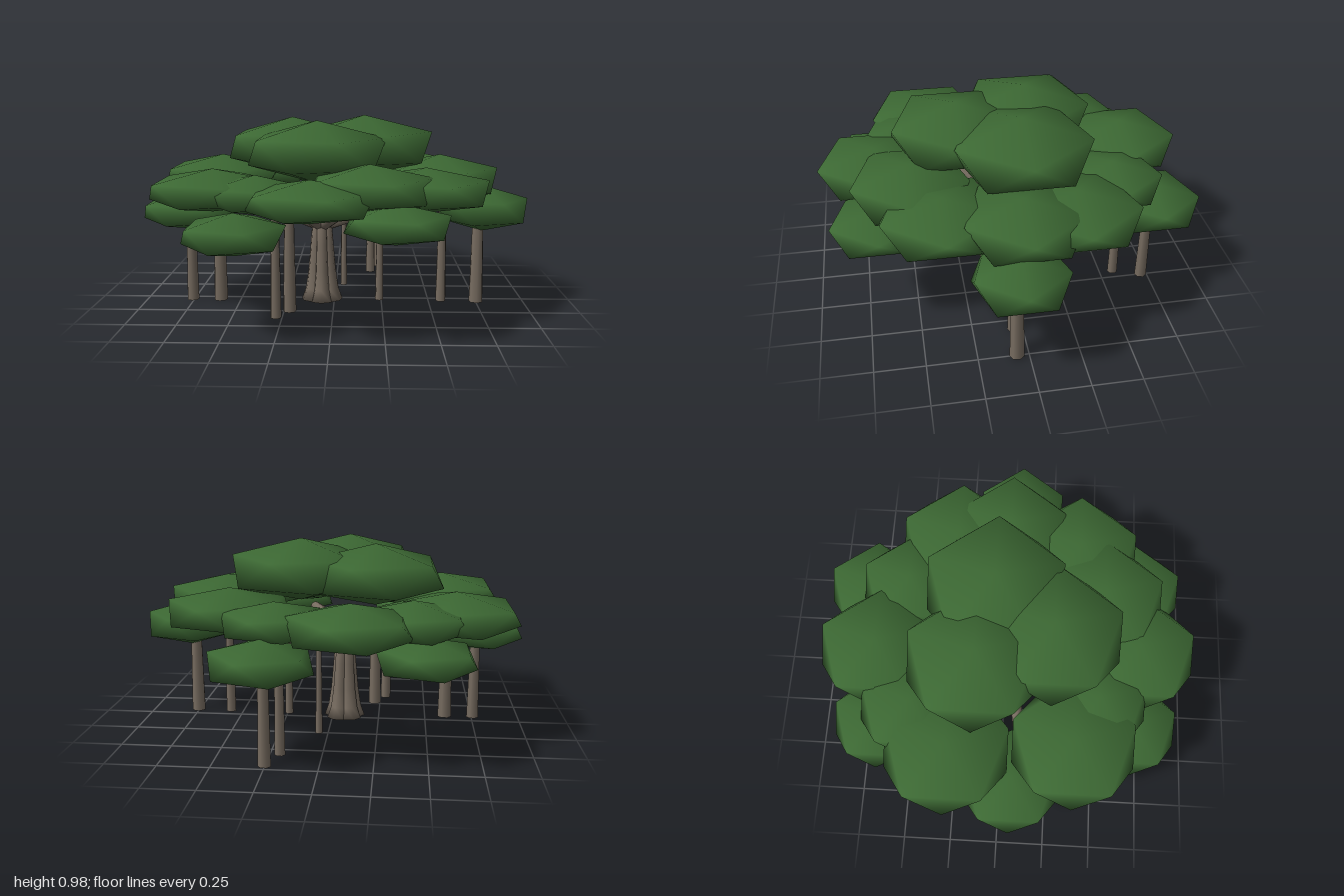
import * as THREE from 'three';

const bark = new THREE.MeshStandardMaterial({ color: 0x776c60 });
bark.name = 'bark';
const leaf = new THREE.MeshStandardMaterial({ color: 0x3c6833 });
leaf.name = 'leafGreen';

// Flattened twenty-sided clump: two poles and two staggered rings of five
function clumpGeometry(radius, height) {
  const pos = [0, height, 0];
  for (const level of [1, -1]) {
    for (let i = 0; i < 5; i++) {
      const a = (i + (level < 0 ? 0.5 : 0)) * Math.PI * 0.4;
      pos.push(Math.cos(a) * radius * 0.894, level * height * 0.447, Math.sin(a) * radius * 0.894);
    }
  }
  pos.push(0, -height, 0);
  const index = [];
  for (let i = 0; i < 5; i++) {
    const u = 1 + i, v = 1 + (i + 1) % 5;
    const l = 6 + i, m = 6 + (i + 1) % 5;
    index.push(0, v, u, u, v, l, l, v, m, l, m, 11);
  }
  const g = new THREE.BufferGeometry();
  g.setAttribute('position', new THREE.Float32BufferAttribute(pos, 3));
  g.setIndex(index);
  g.computeVertexNormals();
  return g;
}

// Limb that narrows along a curve
function limbGeometry(points, r0, r1) {
  const curve = new THREE.CatmullRomCurve3(points.map(p => new THREE.Vector3(...p)));
  const steps = 6, sides = 8;
  const g = new THREE.TubeGeometry(curve, steps, 1, sides, false);
  const p = g.attributes.position;
  const v = new THREE.Vector3();
  for (let i = 0; i < p.count; i++) {
    const t = Math.floor(i / (sides + 1)) / steps;
    const c = curve.getPointAt(t);
    v.fromBufferAttribute(p, i).sub(c).multiplyScalar(r0 + (r1 - r0) * t).add(c);
    p.setXYZ(i, v.x, v.y, v.z);
  }
  return g;
}

export function createModel() {
  const model = new THREE.Group();
  model.name = 'spreadingTree';
  const add = (parent, name, geometry, material, x = 0, y = 0, z = 0) => {
    const mesh = new THREE.Mesh(geometry, material);
    mesh.name = name;
    mesh.position.set(x, y, z);
    parent.add(mesh);
    return mesh;
  };
  const group = name => {
    const g = new THREE.Group();
    g.name = name;
    model.add(g);
    return g;
  };

  // Trunk: a bundle of flared stems
  const cx = -0.065, cz = 0.03;
  const trunk = group('trunk');
  const profile = [[0, 0], [0.062, 0], [0.044, 0.06], [0.035, 0.16], [0.031, 0.3], [0.028, 0.43], [0, 0.44]]
    .map(p => new THREE.Vector2(...p));
  for (let i = 0; i < 5; i++) {
    const a = i * Math.PI * 0.4 + 0.3;
    const stem = add(trunk, 'stem', new THREE.LatheGeometry(profile, 7), bark,
      cx + Math.cos(a) * 0.05, 0, cz + Math.sin(a) * 0.05);
    stem.rotation.set(-Math.sin(a) * 0.06, 0, Math.cos(a) * 0.06);
  }

  // Branches rising from the trunk, then running level under the crown
  const branches = group('branches');
  for (const [x, z] of [[0.55, 0.03], [0.14, 0.45], [-0.28, 0.4], [-0.56, 0.1], [-0.26, -0.45], [0.14, -0.36]]) {
    const at = (t, y) => [cx + (x - cx) * t, y, cz + (z - cz) * t];
    add(branches, 'branch', limbGeometry([at(0, 0.4), at(0.25, 0.45), at(0.5, 0.5), at(1, 0.52)], 0.034, 0.026), bark);
  }

  // Aerial roots that prop up the crown: x, z, foot radius
  const roots = group('propRoots');
  for (const [x, z, r] of [
    [0.75, 0.06, 0.037], [0.565, 0.05, 0.027], [0.24, 0.04, 0.022], [0.045, -0.26, 0.018],
    [0.2, -0.57, 0.027], [0.25, -0.715, 0.032], [-0.605, 0.06, 0.037], [-0.755, 0.06, 0.032],
    [-0.28, 0.375, 0.028], [-0.22, 0.265, 0.034],
  ]) {
    add(roots, 'propRoot', new THREE.CylinderGeometry(r * 0.75, r, 0.5, 7), bark, x, 0.25, z);
  }

  // Crown in three tiers: x, y, z, radius, half height
  const tiers = {
    lowerLeaves: [
      [0.77, 0.5, 0.05, 0.26, 0.12], [0.3, 0.53, 0.67, 0.27, 0.095],
      [-0.44, 0.475, 0.65, 0.27, 0.1], [-0.75, 0.485, 0.06, 0.28, 0.1],
      [-0.48, 0.5, -0.62, 0.26, 0.1], [0.26, 0.49, -0.72, 0.27, 0.11],
    ],
    middleLeaves: [
      [0.55, 0.65, 0, 0.335, 0.125], [0.45, 0.64, 0.37, 0.34, 0.11],
      [0.18, 0.665, 0.5, 0.34, 0.115], [-0.09, 0.63, 0.67, 0.33, 0.1],
      [-0.36, 0.63, 0.48, 0.27, 0.095],
      [-0.58, 0.635, 0.36, 0.35, 0.105], [-0.63, 0.63, -0.26, 0.355, 0.115],
      [-0.42, 0.63, -0.45, 0.29, 0.105], [-0.135, 0.64, -0.65, 0.325, 0.115],
      [0.23, 0.63, -0.51, 0.28, 0.1], [0.49, 0.635, -0.27, 0.345, 0.115],
    ],
    topLeaves: [
      [-0.23, 0.805, -0.14, 0.385, 0.155], [0.155, 0.815, -0.06, 0.4, 0.16],
      [-0.08, 0.81, 0.24, 0.385, 0.155],
    ],
  };
  for (const [name, clumps] of Object.entries(tiers)) {
    const tier = group(name);
    for (const [x, y, z, r, h] of clumps) add(tier, 'leafClump', clumpGeometry(r, h), leaf, x, y, z);
  }
  return model;
}
